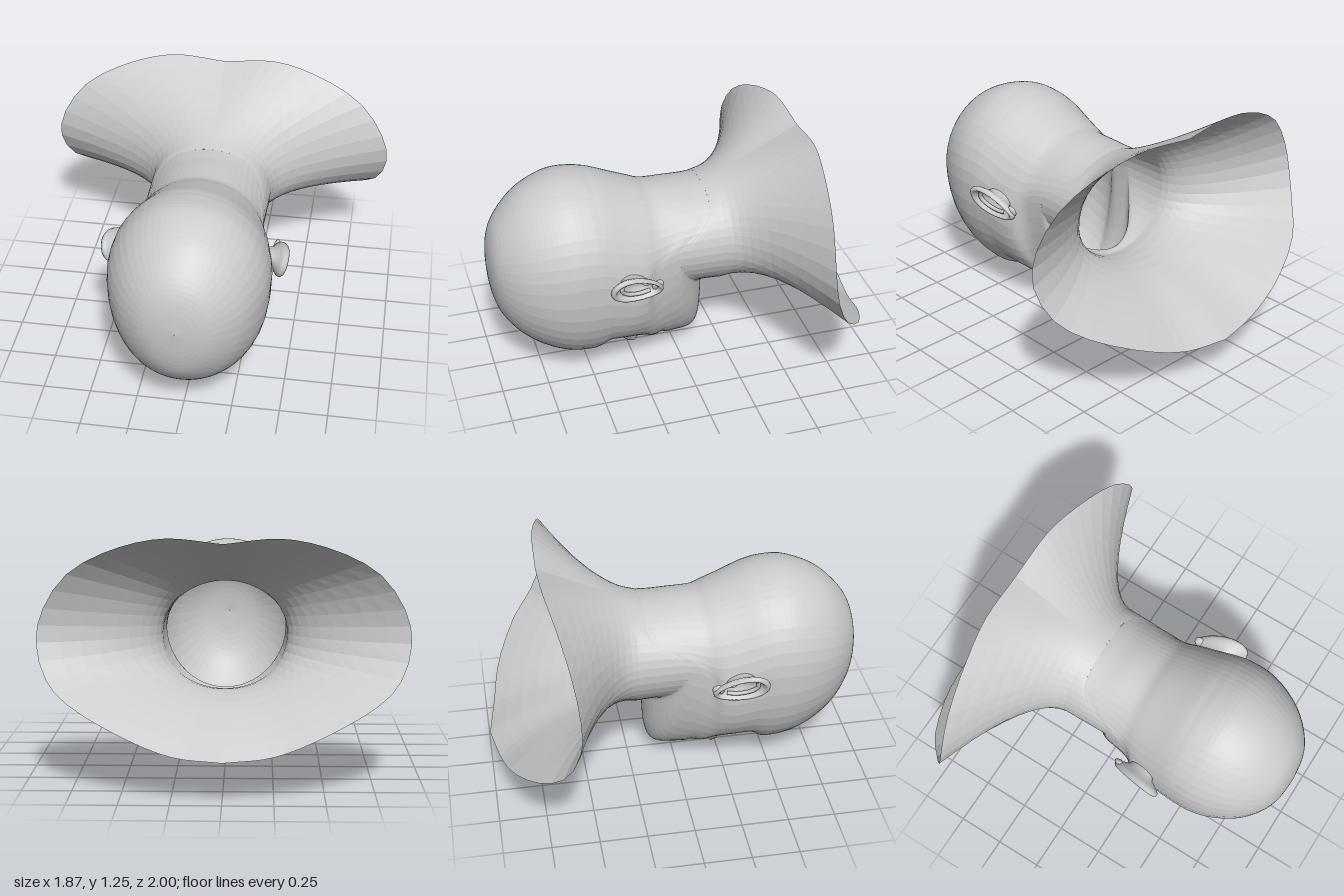
import * as THREE from 'three';

const HALF = 32;       // segments from the top to the underside of one half
const N = HALF * 2;
const STEPS = 4;       // rings between two head sections
const FLARE = 10;      // rings from the neck to the shoulder rim
const { smoothstep } = THREE.MathUtils;
const skin = new THREE.MeshStandardMaterial({ color: 0xcccccc, flatShading: true, side: THREE.DoubleSide });
const earSkin = new THREE.MeshStandardMaterial({ color: 0xcccccc, side: THREE.DoubleSide });

// Head sections from crown to neck: z, top y, bottom y, half width, widest y, lower squareness
const SECTIONS = [
  [1.0, 0.661, 0.659, 0.001, 0.66, 2],
  [0.985, 0.80, 0.51, 0.12, 0.66, 2],
  [0.95, 0.90, 0.385, 0.205, 0.66, 2],
  [0.88, 0.99, 0.28, 0.29, 0.66, 2.05],
  [0.8, 1.06, 0.205, 0.348, 0.67, 2.1],
  [0.7, 1.11, 0.145, 0.393, 0.68, 2.15],
  [0.6, 1.137, 0.11, 0.414, 0.69, 2.2],
  [0.5, 1.132, 0.095, 0.415, 0.69, 2.2],
  [0.45, 1.122, 0.105, 0.411, 0.68, 2.2],
  [0.4, 1.11, 0.14, 0.404, 0.66, 2.3],
  [0.3, 1.07, 0.145, 0.389, 0.62, 2.35],
  [0.2, 1.03, 0.12, 0.37, 0.61, 2.2],
  [0.14, 1.005, 0.085, 0.354, 0.62, 2.05],
  [0.08, 1.0, 0.075, 0.34, 0.64, 1.95],
  [0.0, 0.997, 0.07, 0.33, 0.67, 1.9],
  [-0.08, 0.99, 0.07, 0.326, 0.7, 1.85],
  [-0.13, 0.99, 0.10, 0.323, 0.71, 1.85],
  [-0.155, 0.99, 0.19, 0.322, 0.72, 1.9],
  [-0.163, 0.99, 0.33, 0.322, 0.72, 1.95],
  [-0.17, 0.993, 0.42, 0.322, 0.72, 2],
  [-0.22, 1.01, 0.42, 0.326, 0.72, 2],
];

// Shoulder rim of one half, from nape to chest
const RIM = new THREE.CatmullRomCurve3([
  [0, 1.235, -0.7], [0.29, 1.26, -0.69], [0.55, 1.2, -0.65], [0.77, 1.08, -0.61],
  [0.9, 0.9, -0.585], [0.935, 0.73, -0.6], [0.88, 0.56, -0.68], [0.75, 0.45, -0.8],
  [0.5, 0.33, -0.91], [0.25, 0.24, -0.96], [0, 0.22, -1],
].map(p => new THREE.Vector3(...p)), false, 'catmullrom', 0.5);

// Relief of the face: x, z, x radius, z radius towards brow, z radius towards chin, rise in y
const RELIEF = [
  [0, 0.235, 0.062, 0.1, 0.045, -0.125],    // nose
  [0.06, 0.22, 0.03, 0.04, 0.03, -0.04],    // nostril wings
  [0.028, 0.192, 0.016, 0.014, 0.014, 0.025], // nostrils
  [0.15, 0.405, 0.06, 0.035, 0.05, 0.05],   // eye sockets
  [0.15, 0.38, 0.05, 0.026, 0.026, -0.035], // eyelids
  [0.15, 0.362, 0.06, 0.012, 0.012, 0.012], // lid creases
  [0, 0.125, 0.08, 0.03, 0.02, -0.008],     // upper lip
  [0, 0.09, 0.13, 0.016, 0.016, 0.035],     // mouth line
  [0, 0.05, 0.08, 0.025, 0.03, -0.007],     // lower lip
];

function relief(x, z) {
  let sum = 0;
  for (const [cx, cz, rx, front, back, rise] of RELIEF) {
    const rz = z > cz ? front : back;
    sum += rise * Math.exp(-(((Math.abs(x) - cx) / rx) ** 2) - ((z - cz) / rz) ** 2);
  }
  return sum;
}

// Angle from the top, packed more densely near the nape and the face
function angleAt(j) {
  const k = j <= HALF ? j : N - j, u = k / HALF;
  return { a: Math.PI * (u - 0.1 * Math.sin(2 * Math.PI * u)), side: j <= HALF ? 1 : -1 };
}

function sectionPoint([z, top, bottom, w, mid, n], j) {
  const { a, side } = angleAt(j);
  const c = Math.cos(a), s = Math.max(0, Math.sin(a));
  const e = c < 0 ? 2 / n : 1;
  const x = side * w * Math.pow(s, e);
  let y = mid + (c < 0 ? -(mid - bottom) : top - mid) * Math.pow(Math.abs(c), e);
  // The jaw line sweeps forward from the chin up to the ears
  const sweep = 0.2 * smoothstep(-z, -0.3, 0.13) * (1 - smoothstep(-z, 0.17, 0.22));
  const zz = z + sweep * Math.pow(s, c < 0 ? 2 : 8);
  if (c < -0.3) y += relief(x, zz) * Math.min(1, (-0.3 - c) / 0.2);
  return new THREE.Vector3(x, y, zz);
}

// Closed skin from equal rings
function skinRings(rings) {
  const pos = [], index = [];
  rings.forEach(r => r.forEach(p => pos.push(p.x, p.y, p.z)));
  for (let i = 0; i < rings.length - 1; i++) {
    for (let j = 0; j < N; j++) {
      const a = i * N + j, b = i * N + (j + 1) % N;
      index.push(a, b, a + N, b, b + N, a + N);
    }
  }
  const g = new THREE.BufferGeometry();
  g.setAttribute('position', new THREE.Float32BufferAttribute(pos, 3));
  g.setIndex(index);
  g.computeVertexNormals();
  return g;
}

function ring(fn) {
  return Array.from({ length: N }, (_, j) => fn(j));
}

function headRings() {
  const curve = k => new THREE.CatmullRomCurve3(
    SECTIONS.map(s => new THREE.Vector3(s[k], s[k + 1], s[k + 2])), false, 'catmullrom', 0.5);
  const first = curve(0), second = curve(3);
  const count = (SECTIONS.length - 1) * STEPS;
  return Array.from({ length: count + 1 }, (_, i) => {
    const row = [...first.getPoint(i / count).toArray(), ...second.getPoint(i / count).toArray()];
    return ring(j => sectionPoint(row, j));
  });
}

// Neck spreading in a curve from its last section to the shoulder rim
function shoulderRings() {
  const neck = SECTIONS[SECTIONS.length - 1];
  return Array.from({ length: FLARE + 1 }, (_, i) => ring(j => {
    const { a, side } = angleAt(j);
    const start = sectionPoint(neck, j);
    const end = RIM.getPoint(a / Math.PI);
    end.x *= side;
    const c = Math.cos(a), low = Math.max(0, -c);
    const bend = new THREE.Vector3(start.x * 1.06,
      start.y + (c > 0 ? 0.05 * c : 0.12 * low * low), -0.4 + (c > 0 ? 0.04 * c : -0.15 * low * low));
    return new THREE.QuadraticBezierCurve3(start, bend, end).getPoint(i / FLARE);
  }));
}

function named(geometry, name, material) {
  const m = new THREE.Mesh(geometry, material);
  m.name = name;
  return m;
}

// Ear in its own frame: x along its length, y outward, z across
function createEar() {
  const ear = new THREE.Group();
  const bowl = new THREE.LatheGeometry([
    [0, -0.025], [0.4, -0.02], [0.66, 0], [0.76, 0.012], [0.84, 0.026], [0.92, 0.03],
    [1, 0.02], [1, 0.005], [0.85, -0.01], [0.55, -0.03], [0.45, -0.06],
  ].map(p => new THREE.Vector2(...p)), 32);
  bowl.scale(0.15, 1, 0.078);
  // Narrower towards the lobe
  const p = bowl.attributes.position;
  for (let i = 0; i < p.count; i++) p.setZ(i, p.getZ(i) * (1 + 1.8 * p.getX(i)));
  bowl.computeVertexNormals();
  ear.add(named(bowl, 'earShell', earSkin));

  const fold = new THREE.CatmullRomCurve3([
    [0.09, 0.004, 0.03], [0.085, 0.008, -0.01], [0.04, 0.008, -0.035], [-0.03, 0.008, -0.034], [-0.08, 0.006, -0.015],
  ].map(v => new THREE.Vector3(...v)));
  ear.add(named(new THREE.TubeGeometry(fold, 20, 0.011, 8), 'earFold', earSkin));

  const tragus = named(new THREE.SphereGeometry(0.022, 12, 8), 'tragus', earSkin);
  tragus.scale.set(1.3, 0.8, 0.7);
  tragus.position.set(-0.04, 0, 0.04);
  const lobe = named(new THREE.SphereGeometry(0.032, 14, 10), 'earLobe', earSkin);
  lobe.scale.set(1, 0.5, 1.1);
  lobe.position.set(-0.12, 0, 0.015);
  ear.add(tragus, lobe);

  const along = new THREE.Vector3(0.2, 0.25, 0.95).normalize();
  const out = new THREE.Vector3(1, -0.35, -0.2);
  out.addScaledVector(along, -out.dot(along)).normalize();
  const across = new THREE.Vector3().crossVectors(along, out);
  ear.quaternion.setFromRotationMatrix(new THREE.Matrix4().makeBasis(along, out, across));
  ear.position.set(0.425, 0.665, 0.3);
  return ear;
}

export function createModel() {
  const model = new THREE.Group();
  model.name = 'bust';
  model.add(named(skinRings(headRings()), 'head', skin));
  model.add(named(skinRings(shoulderRings()), 'neckAndShoulders', skin));
  for (const [name, side] of [['leftEar', 1], ['rightEar', -1]]) {
    const holder = new THREE.Group();
    holder.name = name;
    holder.add(createEar());
    holder.scale.x = side;
    model.add(holder);
  }
  return model;
}
